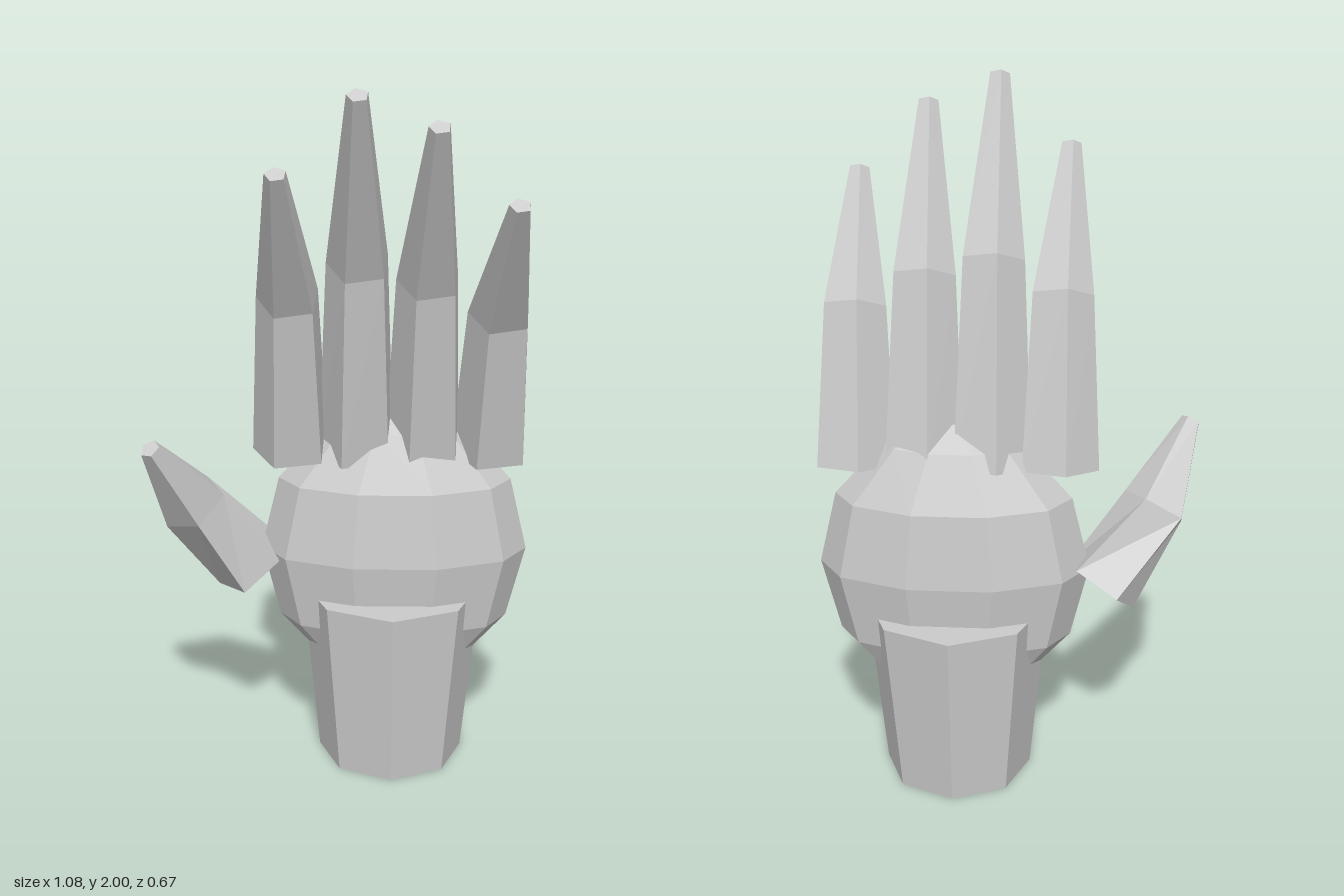
import * as THREE from 'three';

const material = new THREE.MeshStandardMaterial({ color: 0xcccccc, flatShading: true });
const SIDES = 5;

// One pentagon: centre, facing direction, radius and twist in degrees
function ring({ at, facing, radius, twist }) {
  const turn = new THREE.Quaternion().setFromUnitVectors(
    new THREE.Vector3(0, 1, 0), new THREE.Vector3(...facing).normalize());
  const centre = new THREE.Vector3(...at);
  return Array.from({ length: SIDES }, (_, i) => {
    const a = THREE.MathUtils.degToRad(twist + i * 360 / SIDES);
    return new THREE.Vector3(Math.cos(a) * radius, 0, -Math.sin(a) * radius)
      .applyQuaternion(turn).add(centre);
  });
}

// Closed, faceted limb running through a list of pentagons
function limb(name, sections) {
  const rings = sections.map(ring);
  const points = [];
  for (let s = 0; s < rings.length - 1; s++) {
    for (let i = 0; i < SIDES; i++) {
      const j = (i + 1) % SIDES;
      const [a, b, c, d] = [rings[s][i], rings[s][j], rings[s + 1][j], rings[s + 1][i]];
      points.push(a, b, c, a, c, d);
    }
  }
  const first = rings[0], last = rings[rings.length - 1];
  for (let i = 1; i < SIDES - 1; i++) {
    points.push(first[0], first[i + 1], first[i], last[0], last[i], last[i + 1]);
  }
  const geometry = new THREE.BufferGeometry().setFromPoints(points);
  geometry.computeVertexNormals();
  return part(name, geometry);
}

function part(name, geometry) {
  const mesh = new THREE.Mesh(geometry, material);
  mesh.name = name;
  return mesh;
}

export function createModel() {
  const hand = new THREE.Group();
  hand.name = 'hand';

  // Wrist: octagonal stump that widens upward
  const wrist = part('wrist', new THREE.CylinderGeometry(0.265, 0.215, 0.535, 8));
  wrist.position.set(0.15, 0.2675, -0.07);
  hand.add(wrist);

  // Palm: flattened low-poly ball
  const palm = part('palm', new THREE.SphereGeometry(1, 10, 6).scale(0.388, 0.43, 0.182));
  palm.position.set(0.155, 0.655, -0.07);
  hand.add(palm);

  // Fingers: base x, knuckle x and y, tip x and y
  const fingers = [
    ['indexFinger', -0.14, -0.14, 1.425, -0.155, 1.795],
    ['middleFinger', 0.05, 0.05, 1.52, 0.047, 1.985],
    ['ringFinger', 0.24, 0.24, 1.475, 0.248, 1.91],
    ['littleFinger', 0.43, 0.435, 1.385, 0.45, 1.72],
  ];
  for (const [name, baseX, kneeX, kneeY, tipX, tipY] of fingers) {
    hand.add(limb(name, [
      { at: [baseX, 0.955, -0.062], facing: [0, 0.98, 0.19], radius: 0.115, twist: 30 },
      { at: [kneeX, kneeY, 0.05], facing: [0, 0.89, 0.46], radius: 0.09, twist: 30 },
      { at: [tipX, tipY, 0.31], facing: [0, 0.85, 0.5], radius: 0.029, twist: 30 },
    ]));
  }

  // Thumb
  hand.add(limb('thumb', [
    { at: [-0.265, 0.6, -0.07], facing: [-0.56, 0.78, 0.3], radius: 0.118, twist: 40 },
    { at: [-0.42, 0.815, 0.01], facing: [-0.45, 0.8, 0.4], radius: 0.1, twist: 62 },
    { at: [-0.518, 1.03, 0.155], facing: [-0.36, 0.78, 0.5], radius: 0.029, twist: 62 },
  ]));

  return hand;
}
